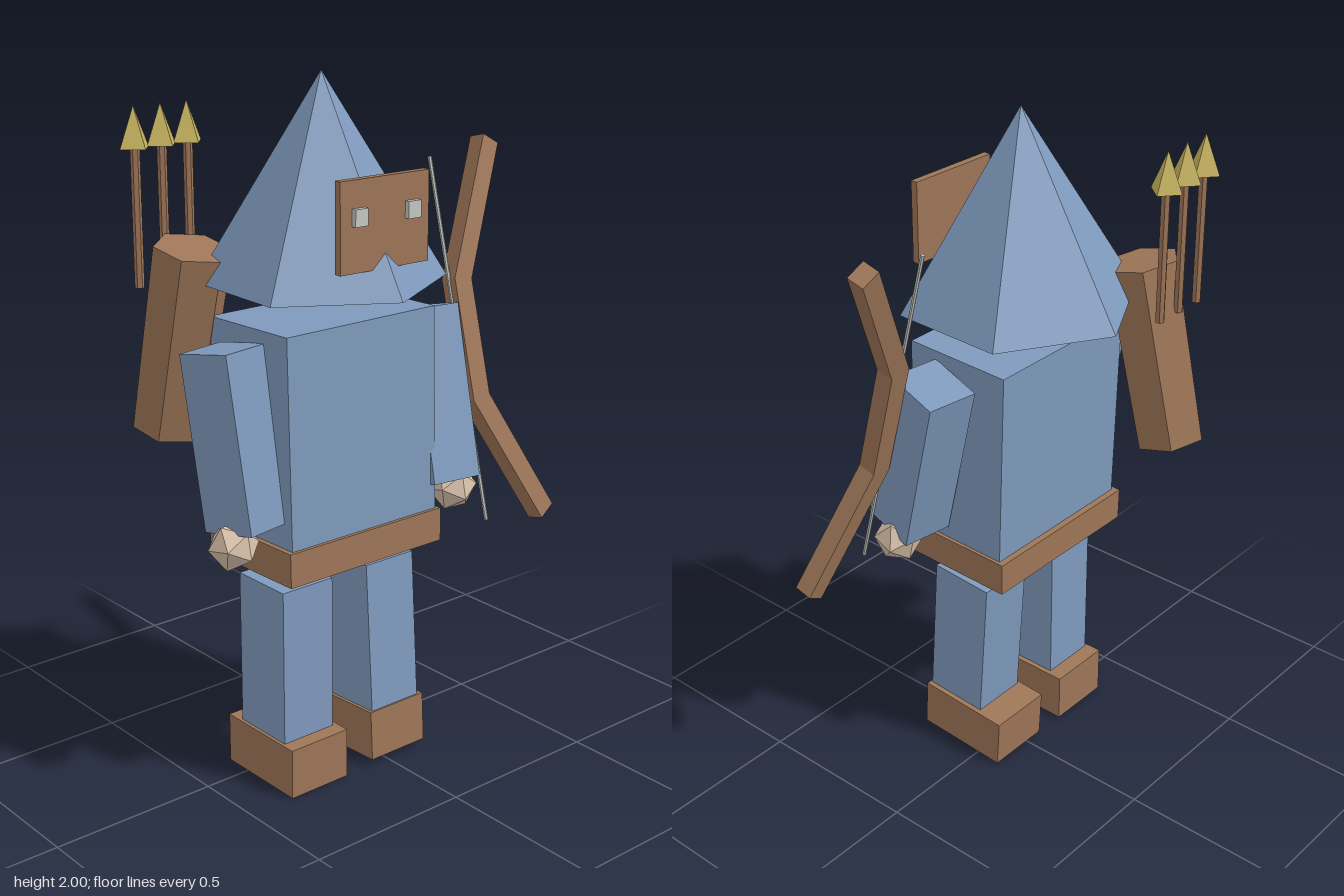
import * as THREE from 'three';

export function createModel() {
  const model = new THREE.Group();
  model.name = 'hoodedArcher';

  const mat = (name, color) => {
    const m = new THREE.MeshStandardMaterial({ color, flatShading: true });
    m.name = name;
    return m;
  };
  const cloth = mat('blueCloth', 0x7f9abd);
  const leather = mat('brownLeather', 0x9e7658);
  const skin = mat('paleSkin', 0xd8c0aa);
  const gold = mat('goldMetal', 0xc8b45e);
  const pale = mat('paleGrey', 0xc6c8c2);

  const add = (name, geo, material, pos, rot = [0, 0, 0], parent = model) => {
    const mesh = new THREE.Mesh(geo, material);
    mesh.name = name;
    mesh.position.set(...pos);
    mesh.rotation.set(rot[0], rot[1], rot[2], 'YXZ');
    parent.add(mesh);
    return mesh;
  };
  const box = (w, h, d) => new THREE.BoxGeometry(w, h, d);

  // Torso and belt, leaning back slightly
  add('torso', box(0.52, 0.63, 0.335), cloth, [-0.109, 1.033, 0.058], [-0.027, 0, 0]);
  add('belt', box(0.546, 0.098, 0.365), leather, [-0.111, 0.708, 0.062], [-0.02, 0, 0]);

  // Legs and boots
  add('rightLeg', box(0.175, 0.51, 0.197), cloth, [-0.26, 0.355, 0.064]);
  add('rightBoot', box(0.201, 0.149, 0.293), leather, [-0.257, 0.0745, 0.062]);
  add('leftLeg', box(0.175, 0.5, 0.197), cloth, [0.037, 0.358, 0.085], [-0.065, 0, 0]);
  add('leftBoot', box(0.201, 0.149, 0.293), leather, [0.04, 0.084, 0.06], [-0.055, 0, 0]);

  // Arms and hands
  add('rightArm', box(0.155, 0.49, 0.172), cloth, [-0.441, 1.06, 0.085], [-0.165, 0.17, 0]);
  add('leftArm', box(0.157, 0.5, 0.17), cloth, [0.229, 1.06, 0.12], [-0.25, -0.14, 0]);
  const hand = new THREE.IcosahedronGeometry(0.071, 0);
  add('rightHand', hand, skin, [-0.492, 0.782, 0.135], [-0.165, 0.17, 0]);
  add('leftHand', hand, skin, [0.271, 0.782, 0.177], [-0.25, -0.14, 0]);

  // Pointed hood with mask and eyes
  const head = new THREE.Group();
  head.name = 'head';
  head.position.set(-0.108, 0, 0.043);
  head.rotation.y = -0.035;
  model.add(head);
  add('hood', new THREE.ConeGeometry(0.345, 0.562, 6), cloth, [0, 1.719, 0], [0, 0, 0], head);
  add('mask', box(0.294, 0.243, 0.022), leather, [-0.002, 1.638, 0.261], [0, 0, 0], head);
  for (const side of [-1, 1]) {
    add('eye', box(0.042, 0.046, 0.016), pale, [side * 0.088 - 0.002, 1.663, 0.279], [0, 0, 0], head);
  }

  // Bow, tilted along the left arm
  const bow = new THREE.Group();
  bow.name = 'bow';
  bow.position.set(0, 1.209, 0.148);
  bow.rotation.x = -0.253;
  model.add(bow);
  const outline = new THREE.Shape([
    [0.31, -0.178], [0.506, -0.569], [0.557, -0.537], [0.374, -0.168],
    [0.374, 0.168], [0.557, 0.537], [0.506, 0.569], [0.31, 0.178],
  ].map(([x, y]) => new THREE.Vector2(x, y)));
  const stave = new THREE.ExtrudeGeometry(outline, { depth: 0.056, bevelEnabled: false });
  stave.translate(0, 0, -0.028);
  add('bowStave', stave, leather, [0, 0, 0], [0, 0, 0], bow);
  add('bowString', new THREE.CylinderGeometry(0.006, 0.006, 1.058, 6), pale, [0.311, 0, 0], [0, 0, 0], bow);

  // Quiver slung on the back, aligned between its two end centres
  const top = new THREE.Vector3(-0.382, 1.525, -0.17);
  const bottom = new THREE.Vector3(-0.4, 0.99, -0.284);
  const axis = top.clone().sub(bottom);
  const quiverGeo = new THREE.CylinderGeometry(0.112, 0.105, axis.length(), 6);
  quiverGeo.rotateY(0.15);
  const quiver = add('quiver', quiverGeo, leather, top.clone().add(bottom).multiplyScalar(0.5).toArray());
  quiver.quaternion.setFromUnitVectors(new THREE.Vector3(0, 1, 0), axis.normalize());

  // Arrows
  for (const x of [-0.474, -0.387, -0.301]) {
    add('arrowShaft', new THREE.CylinderGeometry(0.0135, 0.0135, 0.4, 6), leather, [x, 1.605, -0.298]);
    add('arrowHead', new THREE.ConeGeometry(0.049, 0.113, 4), gold, [x, 1.846, -0.3], [0, 0.08, 0]);
  }

  return model;
}
